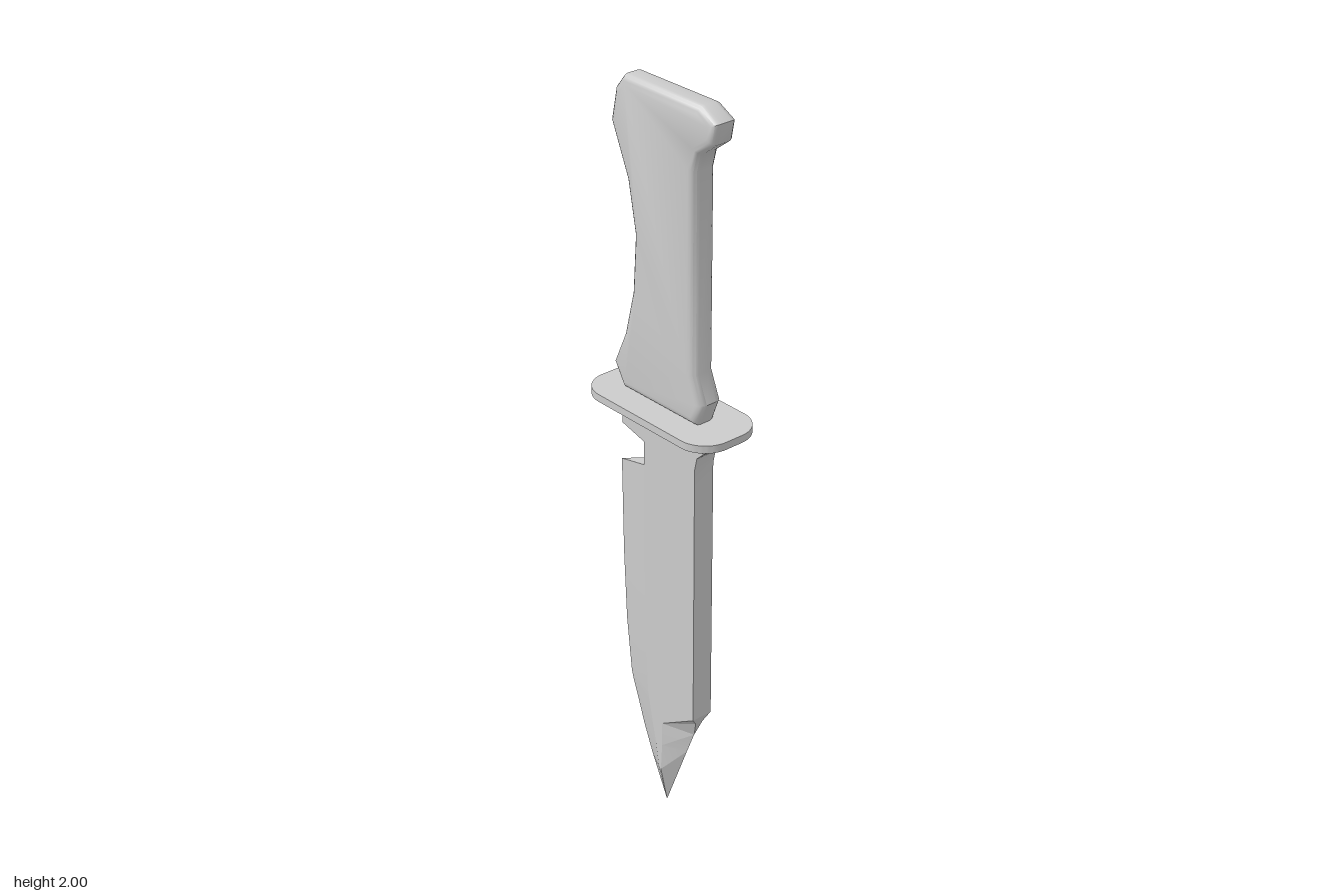
import * as THREE from 'three';
import { toCreasedNormals } from 'three/addons/utils/BufferGeometryUtils.js';

const material = new THREE.MeshStandardMaterial({ color: 0xcccccc });

function part(name, geometry) {
  const mesh = new THREE.Mesh(geometry, material);
  mesh.name = name;
  return mesh;
}

const outline = (points) => new THREE.Shape(points.map(([x, y]) => new THREE.Vector2(x, y)));

// Rounded grip with a finger hollow and a hooked pommel
function makeHandle() {
  const shape = outline([
    [-0.14, 1.2], [0.122, 1.2], [0.145, 1.26], [0.116, 1.33], [0.116, 1.84], [0.128, 1.885],
    [0.175, 1.92], [0.185, 1.972], [0.13, 2], [-0.13, 2], [-0.158, 1.965], [-0.176, 1.88],
    [-0.12, 1.75], [-0.095, 1.62], [-0.105, 1.47], [-0.135, 1.35], [-0.176, 1.26],
  ]);
  const bevel = 0.02;
  const geometry = new THREE.ExtrudeGeometry(shape, {
    depth: 0.07 - 2 * bevel, bevelThickness: bevel, bevelSize: bevel, bevelOffset: -bevel, bevelSegments: 4,
  });
  geometry.translate(0, 0, -0.035 + bevel);
  return part('handle', toCreasedNormals(geometry, 0.75));
}

// Flat guard plate with rounded corners
function makeGuard() {
  const x = 0.225, z = 0.1, r = 0.075;
  const shape = new THREE.Shape();
  shape.absarc(x - r, z - r, r, 0, Math.PI / 2);
  shape.absarc(r - x, z - r, r, Math.PI / 2, Math.PI);
  shape.absarc(r - x, r - z, r, Math.PI, Math.PI * 1.5);
  shape.absarc(x - r, r - z, r, Math.PI * 1.5, Math.PI * 2);
  const geometry = new THREE.ExtrudeGeometry(shape, { depth: 0.02, bevelEnabled: false, curveSegments: 8 });
  geometry.rotateX(-Math.PI / 2).translate(0, 1.18, 0);
  return part('guard', toCreasedNormals(geometry, 0.6));
}

// Flat root of the blade, above and beside the notch
function makeBladeRoot() {
  const shape = outline([
    [-0.065, 1.015], [0.12, 1.015], [0.12, 1.08], [0.128, 1.115], [0.15, 1.135],
    [0.125, 1.18], [-0.145, 1.18], [-0.145, 1.1], [-0.065, 1.08],
  ]);
  const geometry = new THREE.ExtrudeGeometry(shape, { depth: 0.06, bevelEnabled: false });
  geometry.translate(0, 0, -0.03);
  return part('bladeRoot', toCreasedNormals(geometry, 0.5));
}

// Ground blade lofted from the notch down to the tip
function makeBlade() {
  const t = 0.03;
  // y, cutting edge x, grind ridge x, clip boundary x, spine x, half thickness, spine half thickness
  const rows = [
    [1.015, -0.065, -0.065, 0.12, 0.12, t, t],
    [0.97, -0.185, -0.065, 0.12, 0.12, t, t],
    [0.7, -0.181, -0.065, 0.12, 0.12, t, t],
    [0.5, -0.172, -0.063, 0.12, 0.12, t, t],
    [0.345, -0.155, -0.055, 0.12, 0.12, t, t],
    [0.32, -0.148, -0.05, 0.08, 0.11, t, 0.012],
    [0.27, -0.13, -0.04, 0, 0.091, t, 0],
    [0.2, -0.106, -0.025, 0, 0.063, t, 0],
    [0.12, -0.073, -0.012, -0.005, 0.032, t, 0],
    [0, -0.015, -0.015, -0.015, -0.015, 0, 0],
  ];
  const rings = rows.map(([y, edge, ridge, clip, spine, h, s]) => [
    [edge, 0], [ridge, h], [clip, h], [spine, s], [spine, -s], [clip, -h], [ridge, -h],
  ].map(([x, z]) => new THREE.Vector3(x, y, z)));

  const positions = [];
  const addTriangle = (...corners) => {
    if (new THREE.Triangle(...corners).getArea() > 1e-8) {
      corners.forEach((p) => positions.push(p.x, p.y, p.z));
    }
  };
  for (let i = 0; i < rings.length - 1; i++) {
    for (let j = 0; j < 7; j++) {
      const k = (j + 1) % 7;
      const [a, b, c, d] = [rings[i][j], rings[i][k], rings[i + 1][j], rings[i + 1][k]];
      // Diagonals mirror across the blade
      if (j < 3) {
        addTriangle(a, c, b);
        addTriangle(c, d, b);
      } else {
        addTriangle(a, c, d);
        addTriangle(a, d, b);
      }
    }
  }
  const geometry = new THREE.BufferGeometry();
  geometry.setAttribute('position', new THREE.Float32BufferAttribute(positions, 3));
  return part('blade', toCreasedNormals(geometry, 0.2));
}

export function createModel() {
  const group = new THREE.Group();
  group.name = 'knife';
  group.add(makeHandle(), makeGuard(), makeBladeRoot(), makeBlade());
  return group;
}
